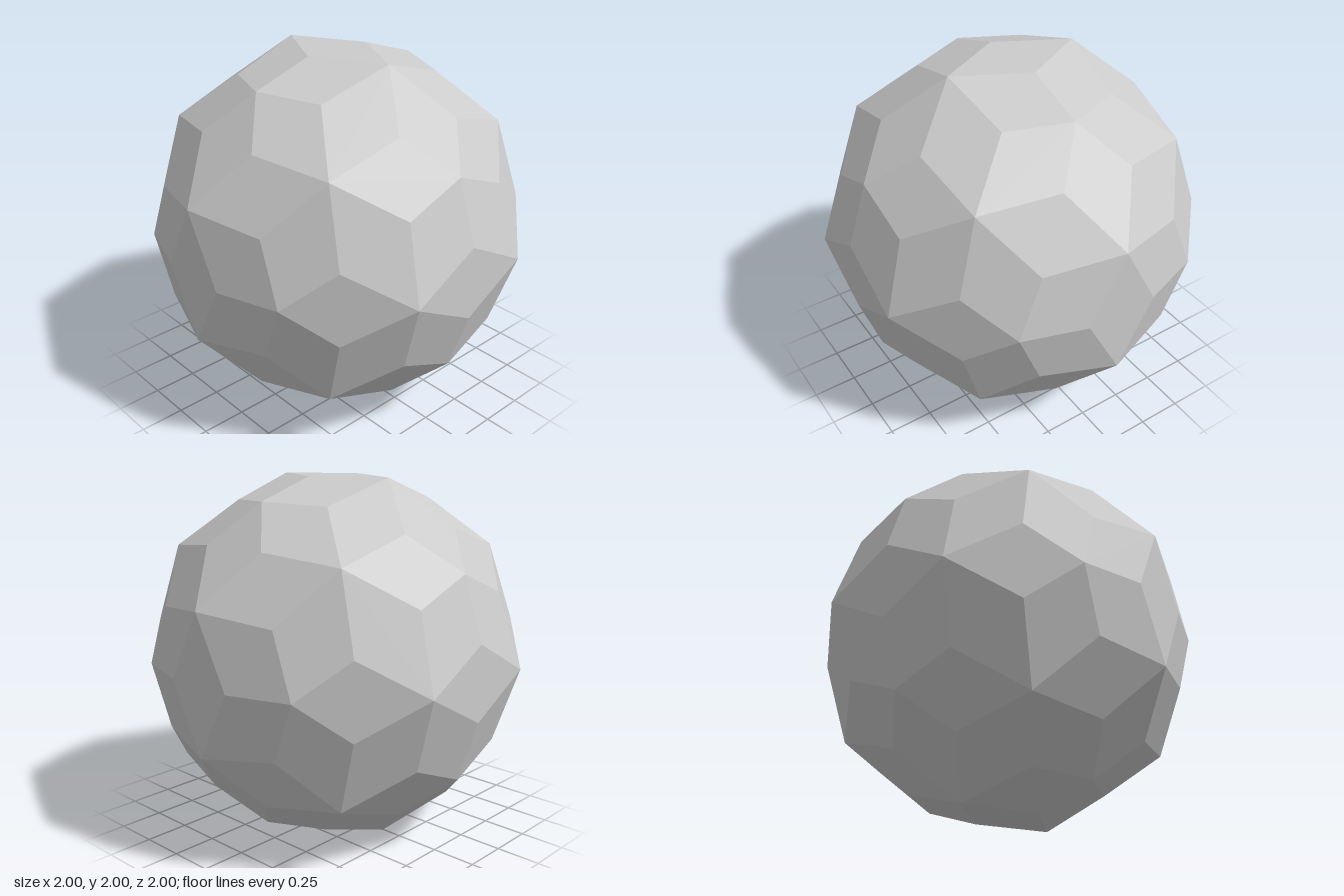
import * as THREE from 'three';

const PHI = (1 + Math.sqrt(5)) / 2;

// The 12 five-fold directions: cyclic permutations of (0, ±phi, ±1)
function fiveFoldAxes() {
  const axes = [];
  for (const s of [1, -1]) for (const t of [1, -1]) {
    axes.push(
      new THREE.Vector3(0, s * PHI, t),
      new THREE.Vector3(t, 0, s * PHI),
      new THREE.Vector3(s * PHI, t, 0)
    );
  }
  return axes;
}

// Add a four-sided facet, turned to face outward
function addFacet(positions, a, b, c, d) {
  const normal = b.clone().sub(a).cross(c.clone().sub(a));
  const q = normal.dot(a) > 0 ? [a, b, c, d] : [a, d, c, b];
  for (const i of [0, 1, 2, 0, 2, 3]) positions.push(q[i].x, q[i].y, q[i].z);
}

function facetMesh(name, positions, material) {
  const geometry = new THREE.BufferGeometry();
  geometry.setAttribute('position', new THREE.Float32BufferAttribute(positions, 3));
  geometry.computeVertexNormals();
  const mesh = new THREE.Mesh(geometry, material);
  mesh.name = name;
  return mesh;
}

export function createModel() {
  const axes = fiveFoldAxes();
  const adjacent = (a, b) => Math.abs(a.distanceTo(b) - 2) < 0.01;

  // Corner points where five, six and three facets meet
  const fivePoint = (a) => a.clone().setLength(1.0428);
  const sixPoint = (a, b, c) => a.clone().add(b).add(c).setLength(Math.sqrt(3) / PHI);
  const threePoint = (a, b) => a.clone().lerp(b, 1 / 3).divideScalar(PHI);

  const kites = [], rhombi = [];
  for (let i = 0; i < 12; i++) for (let j = i + 1; j < 12; j++) {
    const a = axes[i], b = axes[j];
    if (!adjacent(a, b)) continue;

    // One slim rhombus across each pair of neighbouring axes
    const [c, d] = axes.filter((v) => adjacent(v, a) && adjacent(v, b));
    addFacet(rhombi, sixPoint(a, b, c), threePoint(a, b), sixPoint(a, b, d), threePoint(b, a));

    // Three broad kites inside each triangle of axes
    for (let k = j + 1; k < 12; k++) {
      const e = axes[k];
      if (!adjacent(a, e) || !adjacent(b, e)) continue;
      const centre = sixPoint(a, b, e);
      for (const [p, q, r] of [[a, b, e], [b, e, a], [e, a, b]]) {
        addFacet(kites, fivePoint(p), threePoint(p, q), centre, threePoint(p, r));
      }
    }
  }

  const material = new THREE.MeshStandardMaterial({ color: 0xcccccc, flatShading: true });
  const group = new THREE.Group();
  group.name = 'facetedBall';
  group.add(facetMesh('kiteFacets', kites, material), facetMesh('rhombusFacets', rhombi, material));
  for (const mesh of group.children) mesh.position.y = 1;
  return group;
}
